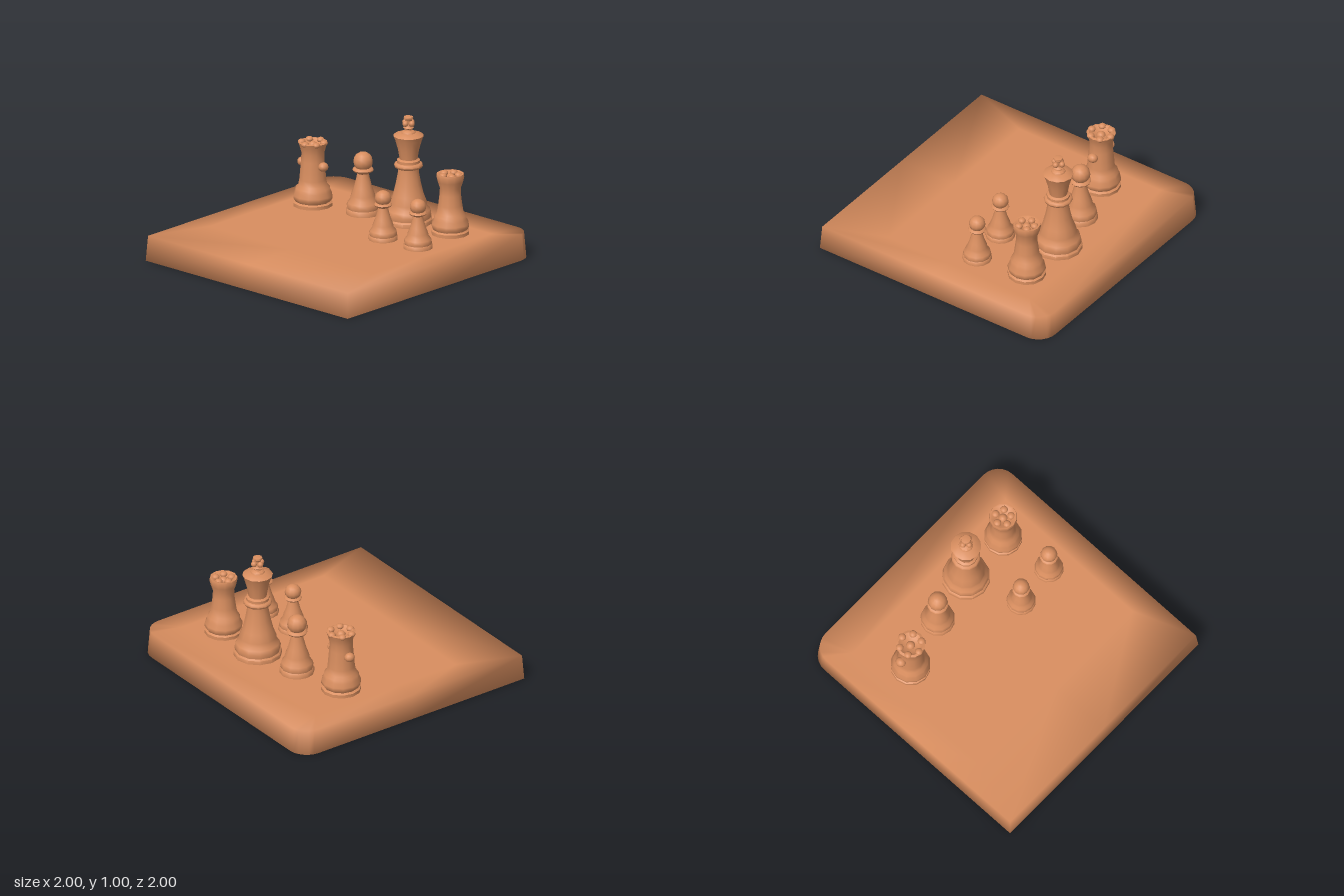
import * as THREE from 'three';
import { toCreasedNormals } from 'three/addons/utils/BufferGeometryUtils.js';

const wood = new THREE.MeshStandardMaterial({ color: 0xd98e5f });
wood.name = 'warm wood';
const FLOOR = 0.19;

function add(parent, name, geometry, x = 0, y = 0, z = 0) {
  const mesh = new THREE.Mesh(geometry, wood);
  mesh.name = name;
  mesh.position.set(x, y, z);
  parent.add(mesh);
  return mesh;
}

// Turned part; profile is a list of [radius, height]
function turned(profile, segments = 12) {
  const points = profile.map(([r, y]) => new THREE.Vector2(r, y));
  return toCreasedNormals(new THREE.LatheGeometry(points, segments), 0.9);
}

function piece(parent, name, x, z) {
  const g = new THREE.Group();
  g.name = name;
  g.position.set(x, FLOOR, z);
  parent.add(g);
  return g;
}

const ball = (r) => new THREE.SphereGeometry(r, 12, 8);

// Slab lofted between outlines: square front corners, rounded back corners
function slabGeometry() {
  const outline = [[-1, 1], [0, 1], [1, 1], [1, 0]];
  const r = 0.15;
  for (let i = 0; i <= 6; i++) {
    const a = (i / 6) * Math.PI / 2;
    outline.push([1 - r + r * Math.cos(a), -1 + r - r * Math.sin(a)]);
  }
  for (let i = 0; i <= 6; i++) {
    const a = Math.PI / 2 + (i / 6) * Math.PI / 2;
    outline.push([-1 + r + r * Math.cos(a), -1 + r - r * Math.sin(a)]);
  }
  outline.push([-1, 0]);
  const n = outline.length;
  const pos = [], normal = [], index = [];
  const ring = (y, scale, out, up) => {
    for (const [x, z] of outline) {
      const inner = scale === 0;
      pos.push(inner ? THREE.MathUtils.clamp(x, -0.81, 0.81) : x * scale, y,
        inner ? THREE.MathUtils.clamp(z, -0.74, 0.52) : z * scale);
      const v = new THREE.Vector3(
        Math.abs(x) > 0.9 ? Math.sign(x) * out : x * out * 0.5, up,
        Math.abs(z) > 0.9 ? Math.sign(z) * out : z * out * 0.5).normalize();
      normal.push(v.x, v.y, v.z);
    }
  };
  ring(0, 1, 1, -0.6);
  ring(FLOOR, 0.988, 1, 0.6);
  ring(FLOOR, 0, 0, 1);
  for (let k = 0; k < 2; k++) {
    for (let i = 0; i < n; i++) {
      const a = k * n + i, b = k * n + (i + 1) % n;
      index.push(a, b, b + n, a, b + n, a + n);
    }
  }
  // Underside and playing area close the shell
  pos.push(0, 0, 0, 0, FLOOR, 0);
  normal.push(0, -1, 0, 0, 1, 0);
  for (let i = 0; i < n; i++) {
    const j = (i + 1) % n;
    index.push(3 * n, j, i, 3 * n + 1, 2 * n + i, 2 * n + j);
  }
  const g = new THREE.BufferGeometry();
  g.setAttribute('position', new THREE.Float32BufferAttribute(pos, 3));
  g.setAttribute('normal', new THREE.Float32BufferAttribute(normal, 3));
  g.setIndex(index);
  return g;
}

// Pawn with stepped foot, collar and ball head
function pawn(parent, name, x, z, wide, tall) {
  const g = piece(parent, name, x, z);
  add(g, 'pawnBody', turned([
    [0, 0], [0.127, 0], [0.127, 0.03], [0.118, 0.04], [0.122, 0.06], [0.115, 0.085],
    [0.095, 0.11], [0.09, 0.14], [0.068, 0.2], [0.05, 0.27], [0.043, 0.305],
    [0.07, 0.32], [0.078, 0.332], [0.07, 0.345], [0.04, 0.35], [0, 0.355],
  ]));
  add(g, 'pawnHead', ball(0.072), 0, 0.395, 0);
  g.scale.set(wide, tall, wide);
}

function king(parent) {
  const g = piece(parent, 'king', 0.175, -0.54);
  add(g, 'kingBody', turned([
    [0, 0], [0.178, 0], [0.178, 0.03], [0.165, 0.04], [0.17, 0.07], [0.16, 0.1],
    [0.14, 0.12], [0.138, 0.15], [0.115, 0.21], [0.095, 0.29], [0.08, 0.37], [0.076, 0.41],
    [0.1, 0.42], [0.107, 0.435], [0.1, 0.45], [0.085, 0.455], [0.085, 0.475], [0.067, 0.485],
    [0.08, 0.56], [0.1, 0.63], [0.112, 0.66], [0.105, 0.667], [0.055, 0.68], [0, 0.685],
  ]));
  add(g, 'kingFinial', turned([
    [0.055, 0.675], [0.05, 0.69], [0.028, 0.7], [0.026, 0.71], [0.04, 0.72], [0.026, 0.73],
    [0.024, 0.78], [0.036, 0.79], [0.034, 0.803], [0, 0.81],
  ], 10));
  // Four small knobs form the cross
  for (let i = 0; i < 4; i++) {
    const a = i * Math.PI / 2;
    add(g, 'crossKnob', ball(0.022), 0.033 * Math.cos(a), 0.755, 0.033 * Math.sin(a));
  }
}

// Stout piece with a ring of knobs around a hollowed crown
function crowned(parent, name, x, z, profile, crownR, crownY, knobs) {
  const g = piece(parent, name, x, z);
  add(g, 'body', turned(profile));
  for (let i = 0; i < knobs; i++) {
    const a = (i + 0.5) / knobs * Math.PI * 2;
    const knob = add(g, 'crownKnob', ball(0.026), crownR * Math.cos(a), crownY, crownR * Math.sin(a));
    knob.scale.set(1.1, 0.8, 1.1);
  }
  add(g, 'crownCentre', ball(0.035), 0, crownY - 0.025, 0);
  return g;
}

export function createModel() {
  const model = new THREE.Group();
  model.name = 'chessSet';
  add(model, 'board', slabGeometry());

  king(model);
  pawn(model, 'largePawn', -0.205, -0.465, 1, 1);
  pawn(model, 'smallPawnRight', 0.313, -0.12, 0.85, 0.79);
  pawn(model, 'smallPawnLeft', 0.635, -0.145, 0.85, 0.79);

  const queen = crowned(model, 'armedPiece', -0.605, -0.36, [
    [0, 0], [0.146, 0], [0.146, 0.025], [0.13, 0.035], [0.146, 0.06], [0.146, 0.08],
    [0.132, 0.11], [0.128, 0.135], [0.108, 0.155], [0.1, 0.2], [0.095, 0.26], [0.088, 0.34],
    [0.085, 0.4], [0.098, 0.45], [0.108, 0.48], [0.09, 0.485], [0.06, 0.46], [0, 0.455],
  ], 0.083, 0.476, 6);
  // Stubby side lugs
  for (const s of [-1, 1]) {
    const lug = add(queen, 'sideLug', ball(0.036), s * 0.104, 0.31, 0);
    lug.scale.set(1, 0.95, 1.1);
  }

  crowned(model, 'rook', 0.58, -0.55, [
    [0, 0], [0.14, 0], [0.14, 0.025], [0.126, 0.035], [0.14, 0.06], [0.138, 0.08],
    [0.122, 0.11], [0.118, 0.14], [0.1, 0.16], [0.09, 0.22], [0.08, 0.3], [0.078, 0.35],
    [0.095, 0.4], [0.104, 0.44], [0.1, 0.456], [0.085, 0.455], [0.06, 0.435], [0, 0.43],
  ], 0.06, 0.446, 5);

  return model;
}
